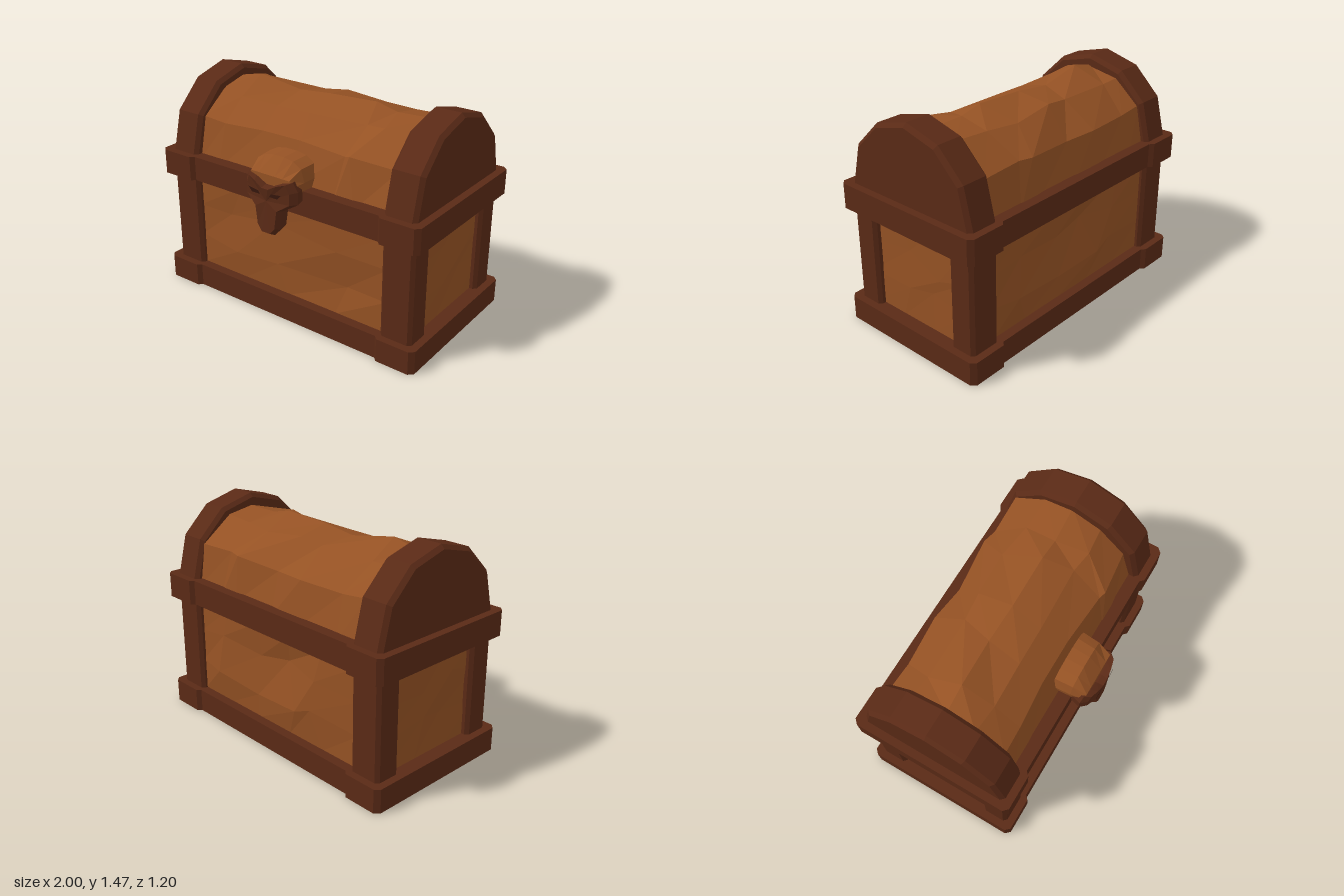
import * as THREE from 'three';

const ZC = -0.055; // middle of the chest body in z
const wood = new THREE.MeshStandardMaterial({ color: 0x955224, flatShading: true, side: THREE.DoubleSide });
const trim = new THREE.MeshStandardMaterial({ color: 0x5a2a16, flatShading: true });
const shadow = new THREE.MeshStandardMaterial({ color: 0x35160c, flatShading: true, side: THREE.DoubleSide });

// seeded noise in -1..1
let seed = 11;
function rnd() {
  seed = (seed * 16807) % 2147483647;
  return (seed / 2147483647) * 2 - 1;
}

function add(parent, name, geometry, material) {
  const mesh = new THREE.Mesh(geometry, material);
  mesh.name = name;
  parent.add(mesh);
  return mesh;
}

// vertical prism from an [x, z] outline
function prism(outline, y0, y1) {
  const shape = new THREE.Shape(outline.map(([x, z]) => new THREE.Vector2(x, -z)));
  const g = new THREE.ExtrudeGeometry(shape, { depth: y1 - y0, bevelEnabled: false });
  return g.rotateX(-Math.PI / 2).translate(0, y0, 0);
}

// rectangle with cut corners
function chamfered(x0, x1, z0, z1, c) {
  return [[x0 + c, z0], [x1 - c, z0], [x1, z0 + c], [x1, z1 - c],
    [x1 - c, z1], [x0 + c, z1], [x0, z1 - c], [x0, z0 + c]];
}

// rough faceted board: inner vertices are shifted, border stays put
function roughPanel(w, h, nx, ny, amp) {
  const g = new THREE.PlaneGeometry(w, h, nx, ny);
  const p = g.attributes.position;
  for (let j = 1; j < ny; j++) {
    for (let i = 1; i < nx; i++) {
      const k = j * (nx + 1) + i;
      p.setXYZ(k, p.getX(k) + rnd() * 0.3 * w / nx, p.getY(k) + rnd() * 0.3 * h / ny, rnd() * amp);
    }
  }
  return g;
}

// closed skin over rings of equal length, listed back to front, counter-clockwise
function loft(rings) {
  const n = rings[0].length, pos = rings.flat(2), idx = [];
  rings.slice(1).forEach((_, r) => {
    for (let i = 0; i < n; i++) {
      const a = r * n + i, b = r * n + (i + 1) % n;
      idx.push(a, b, b + n, a, b + n, a + n);
    }
  });
  const mid = ring => [0, 1, 2].map(c => ring.reduce((s, v) => s + v[c], 0) / n);
  const last = (rings.length - 1) * n, cb = rings.length * n;
  pos.push(...mid(rings[0]), ...mid(rings[rings.length - 1]));
  for (let i = 0; i < n; i++) {
    const j = (i + 1) % n;
    idx.push(cb, j, i, cb + 1, last + i, last + j);
  }
  const g = new THREE.BufferGeometry();
  g.setAttribute('position', new THREE.Float32BufferAttribute(pos, 3));
  g.setIndex(idx);
  g.computeVertexNormals();
  return g;
}

// mirror a right-hand outline (bottom to top) into a full loop
const mirrorLoop = half => [...half, ...half.slice().reverse().map(([x, y, z]) => [-x, y, z])];

function makeLid() {
  const xs = [-0.75, -0.57, -0.25, 0, 0.35, 0.5, 0.75];
  const ridge = [1.39, 1.43, 1.375, 1.4, 1.415, 1.38, 1.385];
  const profile = [[-0.46, 0.9], [-0.41, 1.18], [-0.22, 1.35], [0, 0], [0.2, 1.335], [0.38, 1.19], [0.455, 0.9]];
  const g = new THREE.PlaneGeometry(1, 1, 6, 6);
  const p = g.attributes.position;
  profile.forEach(([z, y], j) => xs.forEach((x, i) => {
    const top = j === 3, inner = i > 0 && i < 6 && !top ? 1 : 0;
    const low = j === 0 || j === 6 ? 0 : 1;
    p.setXYZ(j * 7 + i,
      x + inner * low * rnd() * 0.07,
      top ? ridge[i] : y + low * rnd() * 0.018,
      ZC + z + low * rnd() * 0.022);
  }));
  return g;
}

function makeLatch() {
  const latch = new THREE.Group();
  latch.name = 'latch';

  // wooden dome behind the clasp
  const dome = [[0.12, 0.86], [0.19, 0.95], [0.2, 1.02], [0.175, 1.1], [0.11, 1.135], [0.04, 1.147]];
  const domeRing = (s, yTop, z) => mirrorLoop(dome.map(([x, y]) => [x * s, Math.min(y, yTop) - (1 - s) * 0.1, z]));
  add(latch, 'latchDome', loft([
    domeRing(1, 2, 0.34),
    domeRing(0.95, 2, 0.46),
    domeRing(0.85, 1.06, 0.55),
  ]), wood);

  // pointed metal clasp, bowed back at its sides
  const clasp = [[0.04, 0.665], [0.08, 0.71], [0.1, 0.84], [0.2, 0.9], [0.2, 0.98], [0.17, 1.04], [0.1, 1.02], [0.03, 0.985]];
  const claspRing = (s, z) => mirrorLoop(clasp.map(([x, y]) =>
    [x * s, 0.9 + (y - 0.9) * (s + 1) / 2, z - 0.8 * x * x]));
  add(latch, 'clasp', loft([claspRing(0.9, 0.5), claspRing(1, 0.565), claspRing(0.82, 0.605)]), trim);

  // slanted dark slots
  for (const s of [-1, 1]) {
    const slot = new THREE.Shape([[0.035, 0.935], [0.1, 0.935], [0.125, 0.965], [0.05, 0.955]]
      .map(([x, y]) => new THREE.Vector2(s * x, y)));
    add(latch, 'claspSlot', new THREE.ShapeGeometry(slot).translate(0, 0, 0.604), shadow);
  }
  return latch;
}

export function createModel() {
  const chest = new THREE.Group();
  chest.name = 'chest';

  // base and rim share an outline with wider corner blocks
  const quarter = [[1, 0.515], [0.97, 0.545], [0.745, 0.545], [0.72, 0.52]];
  const half = [...quarter, ...quarter.slice().reverse().map(([x, z]) => [-x, z])];
  const outline = [...half, ...half.map(([x, z]) => [-x, -z])].map(([x, z]) => [x, ZC + z]);
  add(chest, 'base', prism(outline, 0, 0.157), trim);
  add(chest, 'rim', prism(outline, 0.795, 0.96), trim);

  // front, back and side boards
  const front = roughPanel(1.5, 0.66, 4, 3, 0.035);
  add(chest, 'frontBoard', front.translate(0, 0.477, 0.4), wood);
  const back = roughPanel(1.5, 0.66, 5, 3, 0.04);
  add(chest, 'backBoard', back.rotateY(Math.PI).translate(0, 0.477, 2 * ZC - 0.4), wood);

  // end arch profile, extruded with a bevel
  const arch = [[0.505, 0.9], [0.495, 0.96], [0.43, 1.22], [0.245, 1.4]];
  const archShape = new THREE.Shape([...arch, [0, 1.465], ...arch.slice().reverse().map(([z, y]) => [-z, y])]
    .map(([z, y]) => new THREE.Vector2(z, y)));

  for (const s of [-1, 1]) {
    const side = roughPanel(0.8, 0.66, 3, 3, 0.015);
    add(chest, 'sideBoard', side.rotateY(s * Math.PI / 2).translate(s * 0.905, 0.477, ZC), wood);

    const archGeo = new THREE.ExtrudeGeometry(archShape, {
      depth: 0.17, bevelEnabled: true, bevelThickness: 0.025, bevelSize: 0.025, bevelOffset: -0.025, bevelSegments: 1,
    });
    archGeo.translate(0, 0, -0.085).rotateY(Math.PI / 2);
    add(chest, 'lidArch', archGeo, trim).position.set(s * 0.84, 0, ZC);

    // corner posts
    for (const t of [-1, 1]) {
      const zs = [ZC + t * 0.315, ZC + t * 0.495].sort((a, b) => a - b);
      const xs = [s * 0.73, s * 0.95].sort((a, b) => a - b);
      add(chest, 'cornerPost', prism(chamfered(xs[0], xs[1], zs[0], zs[1], 0.022), 0.15, 0.8), trim);
    }
  }

  add(chest, 'lid', makeLid(), wood);
  chest.add(makeLatch());
  return chest;
}
